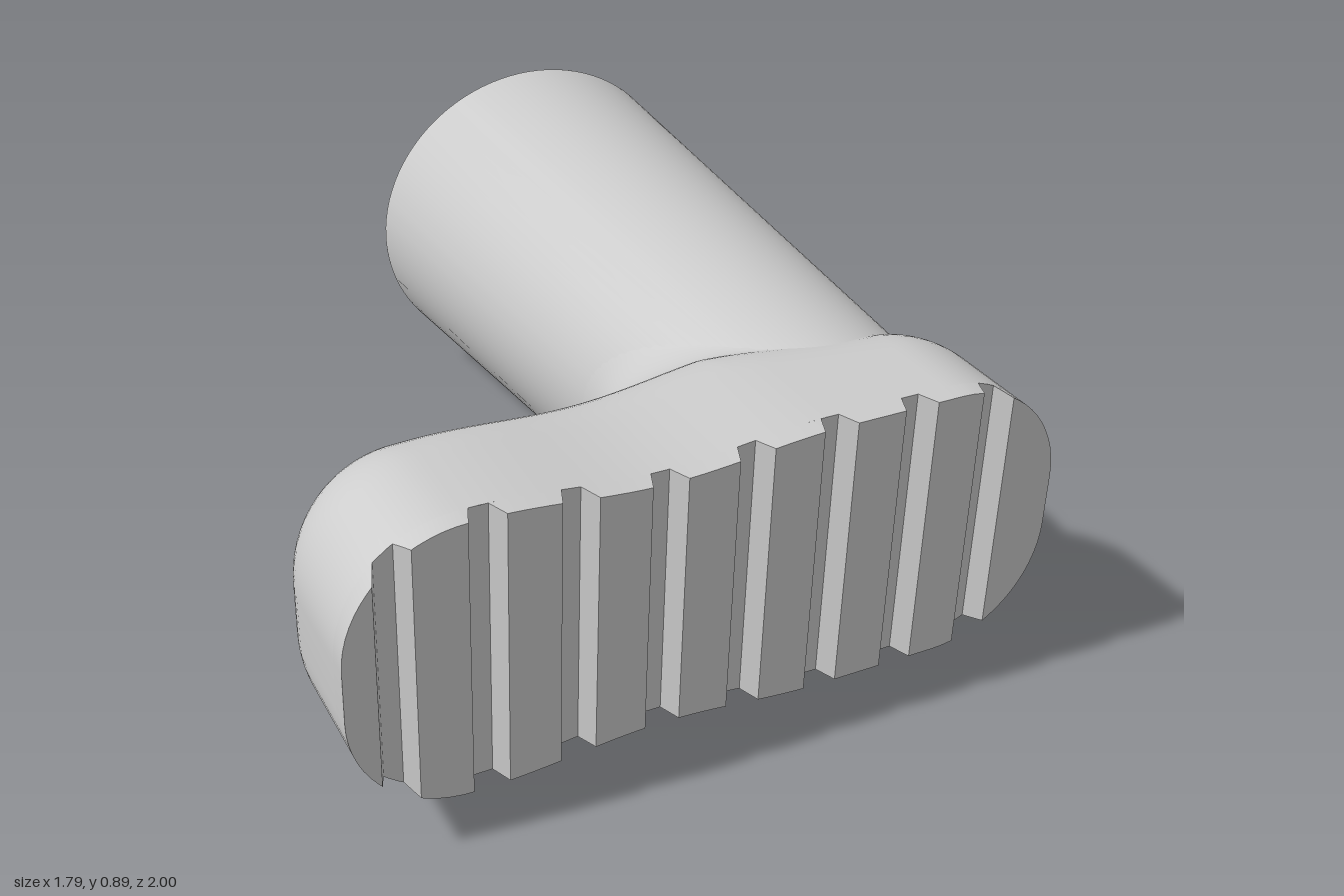
import * as THREE from 'three';
import { toCreasedNormals } from 'three/addons/utils/BufferGeometryUtils.js';

const CY = 0.445;            // height of the boot's long axis
const SX = 0.42;             // x of the shaft's axis
const R = 0.28;              // rounding of the foot
const TOE = -0.9 + R, HEEL = 0.83 - R;
const Z_SOLE = 0.95, Z_GROUND = 1;

// Foot half width, pinched at the waist
const halfWidth = (x) => {
  const u = Math.min(1, Math.abs((x + 0.17) / 0.42));
  return 0.345 - 0.015 * (1 + Math.cos(Math.PI * u));
};
// Instep line of the foot
const instep = (x) => {
  const line = 0.465 - 0.07 * (Math.min(x, 0.15) - TOE);
  return x < 0.15 ? line : THREE.MathUtils.lerp(line, 0.48, Math.min(1, (x - 0.15) / 0.4));
};
// Sole half width including the rounded ends
const soleWidth = (x) => {
  const u = Math.min(1, Math.max(TOE - x, x - HEEL, 0) / R);
  return halfWidth(THREE.MathUtils.clamp(x, TOE, HEEL)) - R * (1 - Math.sqrt(1 - u * u));
};
const shaftRadius = (z) => 0.445 - 0.0665 * (z + 1);

function surface(name, crease, build, keep = () => true) {
  const pos = [];
  const tri = (...p) => {
    const c = new THREE.Vector3().add(p[0]).add(p[1]).add(p[2]).divideScalar(3);
    if (keep(c)) p.forEach((v) => pos.push(v.x, v.y + CY, v.z));
  };
  build((a, b, c, d) => { tri(a, b, c); tri(a, c, d); });
  const geo = new THREE.BufferGeometry();
  geo.setAttribute('position', new THREE.Float32BufferAttribute(pos, 3));
  return makeMesh(name, toCreasedNormals(geo, crease));
}

function makeMesh(name, geo) {
  const mesh = new THREE.Mesh(geo, new THREE.MeshStandardMaterial({ color: 0xcccccc }));
  mesh.name = name;
  return mesh;
}

const V = (x, y, z) => new THREE.Vector3(x, y, z);

// Hollow tapered shaft with a rounded rim
function shaft() {
  const wall = 0.042, rr = 0.018;
  const pts = [[0, 0.9], [shaftRadius(0.9) - wall, 0.9], [shaftRadius(-1) - wall, -1 + rr]];
  for (let i = 1; i <= 4; i++) {
    const a = (i / 4) * Math.PI / 2;
    pts.push([0.445 - wall + rr * (1 - Math.cos(a)), -1 + rr * (1 - Math.sin(a))]);
  }
  for (let i = 0; i <= 4; i++) {
    const a = (i / 4) * Math.PI / 2;
    pts.push([0.445 - rr + rr * Math.sin(a), -1 + rr * (1 - Math.cos(a))]);
  }
  pts.push([shaftRadius(0.7), 0.7]);
  const geo = new THREE.LatheGeometry(pts.map(([r, z]) => new THREE.Vector2(r, z)), 96);
  geo.rotateX(Math.PI / 2);
  // Slightly oval section, longer from toe to heel
  const p = geo.attributes.position;
  for (let i = 0; i < p.count; i++) {
    const x = p.getX(i), y = p.getY(i), r = Math.hypot(x, y);
    if (r > 1e-4) p.setX(i, x + 0.03 * x / r);
  }
  geo.translate(SX, CY, 0);
  return makeMesh('shaft', toCreasedNormals(geo, 0.7));
}

// Foot: rounded outline, lofted from the sole to the instep
function foot() {
  const half = [];
  for (let i = 0; i < 16; i++) half.push([TOE, Math.PI - (i / 16) * Math.PI / 2]);
  for (let i = 0; i <= 80; i++) half.push([TOE + (HEEL - TOE) * i / 80, Math.PI / 2]);
  for (let i = 1; i <= 16; i++) half.push([HEEL, Math.PI / 2 * (1 - i / 16)]);
  const ring = (rho, zOf) => {
    const up = half.map(([x, a]) =>
      V(x + rho * Math.cos(a), halfWidth(x) - R + rho * Math.sin(a), zOf(x)));
    return [...up, ...up.map((v) => V(v.x, -v.y, v.z)).reverse()];
  };
  const rings = [ring(R, () => Z_SOLE)];
  for (let j = 0; j <= 18; j++) {
    const a = (j / 18) * Math.PI / 2;
    rings.push(ring(R * Math.cos(a), (x) => instep(x) + R * (1 - Math.sin(a))));
  }
  // Leave the inside of the shaft open
  const outsideShaft = (c) => {
    const r = shaftRadius(c.z) - 0.022;
    return c.z > 0.8 || Math.hypot((c.x - SX) / (r + 0.03), c.y / r) > 1;
  };
  return surface('foot', 0.6, (quad) => {
    const n = rings[0].length;
    for (let j = 0; j < rings.length - 1; j++) {
      for (let i = 0; i < n; i++) {
        const k = (i + 1) % n;
        quad(rings[j][i], rings[j][k], rings[j + 1][k], rings[j + 1][i]);
      }
    }
    const top = rings[rings.length - 1];
    for (let i = 0; i < half.length - 1; i++) quad(top[i], top[i + 1], top[n - 2 - i], top[n - 1 - i]);
  }, outsideShaft);
}

// Ankle fillet: concave sweep from the shaft's front to the instep
function ankle() {
  const shaftX = (y, z) => {
    const r = shaftRadius(z);
    return SX - (r + 0.03) * Math.sqrt(Math.max(0, 1 - (y / r) ** 2));
  };
  const footZ = (x, y) => {
    const a = Math.max(0, Math.abs(y) - (halfWidth(x) - R));
    return instep(x) + R - Math.sqrt(Math.max(0, R * R - a * a));
  };
  const rows = [];
  for (let i = 0; i <= 48; i++) {
    const y = 0.325 * (i / 24 - 1);
    const size = 0.235 * (1 - Math.abs(y / 0.325) ** 3);
    let z = 0.45;
    for (let k = 0; k < 12; k++) z = footZ(shaftX(y, z), y);
    const x = shaftX(y, z);
    const curve = new THREE.QuadraticBezierCurve3(
      V(shaftX(y, z - size), y, z - size), V(x, y, z), V(x - size, y, footZ(x - size, y)));
    rows.push(curve.getPoints(14));
  }
  return surface('ankleFillet', 1, (quad) => {
    for (let i = 0; i < 48; i++) {
      for (let j = 0; j < 14; j++) quad(rows[i][j], rows[i][j + 1], rows[i + 1][j + 1], rows[i + 1][j]);
    }
  });
}

// Sole tread with eight trapezoid grooves running across it
function tread() {
  const centres = Array.from({ length: 8 }, (_, i) => -0.785 + 0.205 * i);
  const depth = (x) => {
    const d = Math.min(...centres.map((c) => Math.abs(x - c)));
    return THREE.MathUtils.lerp(Z_SOLE, Z_GROUND, THREE.MathUtils.clamp((d - 0.022) / 0.02, 0, 1));
  };
  const xs = centres.flatMap((c) => [c - 0.042, c - 0.022, c + 0.022, c + 0.042]);
  for (let i = 0; i <= 16; i++) {
    const s = R * (1 - Math.cos((i / 16) * Math.PI / 2));
    xs.push(-0.9 + s, 0.83 - s);
  }
  for (let i = 1; i < 40; i++) xs.push(TOE + (HEEL - TOE) * i / 40);
  xs.sort((a, b) => a - b);
  const at = (x, side, z) => V(x, side * soleWidth(x), z);
  return surface('soleTread', 0.4, (quad) => {
    for (let i = 0; i < xs.length - 1; i++) {
      const a = xs[i], b = xs[i + 1], za = depth(a), zb = depth(b);
      if (b - a < 1e-6) continue;
      quad(at(a, -1, za), at(b, -1, zb), at(b, 1, zb), at(a, 1, za));
      quad(at(a, 1, za), at(b, 1, zb), at(b, 1, Z_SOLE), at(a, 1, Z_SOLE));
      quad(at(a, -1, Z_SOLE), at(b, -1, Z_SOLE), at(b, -1, zb), at(a, -1, za));
    }
    for (const [x, s] of [[-0.9, 1], [0.83, -1]]) {
      quad(at(x, -s, Z_SOLE), at(x, -s, Z_GROUND), at(x, s, Z_GROUND), at(x, s, Z_SOLE));
    }
  });
}

export function createModel() {
  const boot = new THREE.Group();
  boot.name = 'boot';
  boot.add(shaft(), foot(), ankle(), tread());
  return boot;
}
